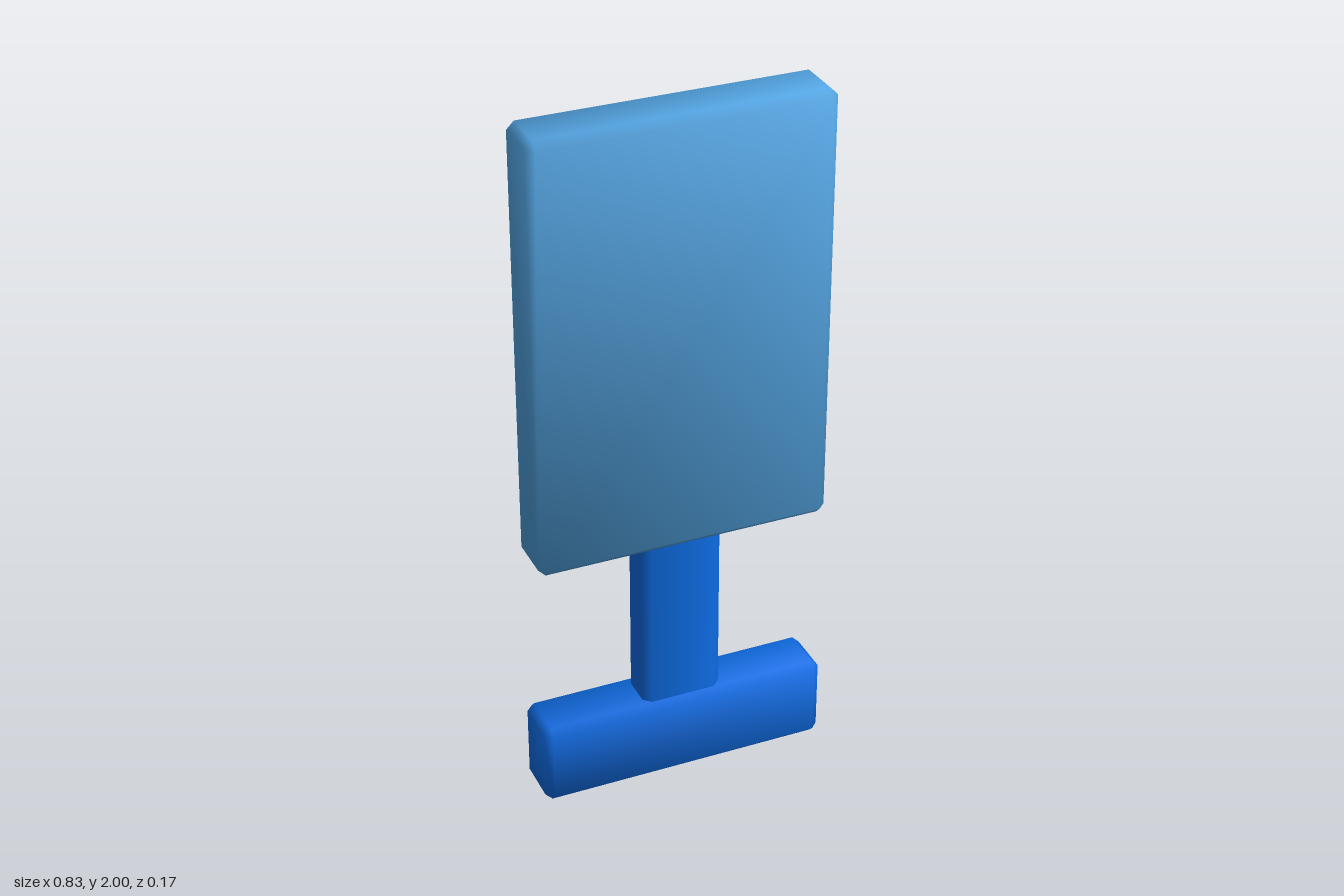
import * as THREE from 'three';
import { ConvexGeometry } from 'three/addons/geometries/ConvexGeometry.js';

// Box with cut edges and softly averaged normals; upright = false keeps normals level
function bevelledBox(w, h, d, bevel, upright = true) {
  const half = [w / 2, h / 2, d / 2];
  const points = [];
  for (let axis = 0; axis < 3; axis++) {
    for (const sx of [-1, 1]) for (const sy of [-1, 1]) for (const sz of [-1, 1]) {
      const p = [sx, sy, sz].map((s, i) => s * (half[i] - (i === axis ? 0 : bevel)));
      points.push(new THREE.Vector3(...p));
    }
  }
  const geometry = new ConvexGeometry(points);

  // Each corner normal averages its face, two bevels and the corner facet
  const pos = geometry.attributes.position;
  const normal = geometry.attributes.normal;
  const n = new THREE.Vector3();
  for (let i = 0; i < pos.count; i++) {
    const c = [pos.getX(i), pos.getY(i), pos.getZ(i)].map((v, k) =>
      Math.sign(v) * (Math.abs(v) > half[k] - bevel / 2 ? 2.99 : 1.28));
    n.set(c[0], upright ? c[1] : 0, c[2]).normalize();
    normal.setXYZ(i, n.x, n.y, n.z);
  }
  return geometry;
}

export function createModel() {
  const model = new THREE.Group();
  model.name = 'panelOnStand';
  const lightBlue = new THREE.MeshStandardMaterial({ color: 0x52a4e2 });
  lightBlue.name = 'lightBlue';
  const deepBlue = new THREE.MeshStandardMaterial({ color: 0x0d6ce4 });
  deepBlue.name = 'deepBlue';

  const add = (name, geometry, material, y) => {
    const mesh = new THREE.Mesh(geometry, material);
    mesh.name = name;
    mesh.position.y = y;
    model.add(mesh);
  };

  // Foot bar, post sunk into both neighbours, and upright panel
  add('base', bevelledBox(0.834, 0.245, 0.167, 0.021), deepBlue, 0.1225);
  add('post', bevelledBox(0.23, 0.6, 0.124, 0.021, false), deepBlue, 0.5);
  add('panel', bevelledBox(0.834, 1.25, 0.167, 0.021), lightBlue, 1.375);
  return model;
}
